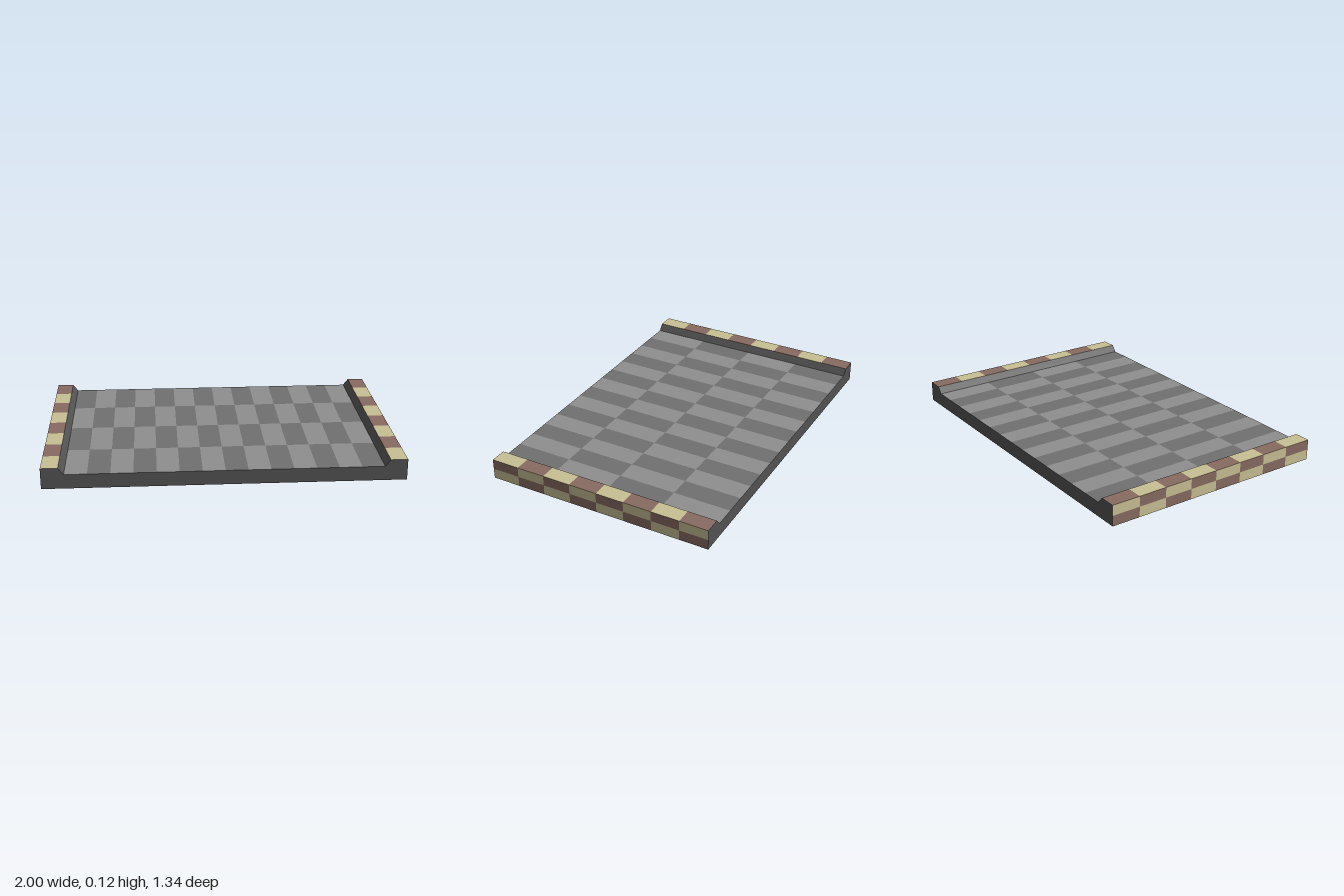
import * as THREE from 'three';
import { mergeGeometries } from 'three/addons/utils/BufferGeometryUtils.js';

const LENGTH = 1.344;            // extent along z
const TOP = 0.12, DECK = 0.082;  // curb and road heights
const CURB_IN = 0.905, DECK_IN = 0.875;

const material = (color) => new THREE.MeshStandardMaterial({ color, flatShading: true });
const dark = material(0x525252);
const cream = material(0xc8bf93), brown = material(0x876b61);
const light = material(0x8f8f8f), grey = material(0x707070);

function part(name, geometry, mat) {
  const mesh = new THREE.Mesh(geometry, mat);
  mesh.name = name;
  return mesh;
}

// Checkered panel in the XY plane facing +z; matA fills the lower left tile
function checker(name, width, height, cols, rows, matA, matB) {
  const sets = [[], []];
  const w = width / cols, h = height / rows;
  for (let i = 0; i < cols; i++) {
    for (let j = 0; j < rows; j++) {
      const tile = new THREE.PlaneGeometry(w, h);
      tile.translate((i + 0.5) * w - width / 2, (j + 0.5) * h - height / 2, 0);
      sets[(i + j) % 2].push(tile);
    }
  }
  const group = new THREE.Group();
  group.name = name;
  group.add(part(name + 'TilesA', mergeGeometries(sets[0]), matA));
  group.add(part(name + 'TilesB', mergeGeometries(sets[1]), matB));
  return group;
}

export function createModel() {
  const model = new THREE.Group();
  model.name = 'roadSection';

  // Checkered road surface
  const deck = checker('roadSurface', DECK_IN * 2, LENGTH, 14, 4, light, grey);
  deck.rotation.x = -Math.PI / 2;
  deck.position.y = DECK;
  model.add(deck);

  // Underside
  const base = part('underside', new THREE.PlaneGeometry(2, LENGTH), dark);
  base.rotation.x = Math.PI / 2;
  model.add(base);

  // Front and back end faces share the road's cross-section
  const profile = new THREE.Shape([
    [-1, 0], [1, 0], [1, TOP], [CURB_IN, TOP], [DECK_IN, DECK],
    [-DECK_IN, DECK], [-CURB_IN, TOP], [-1, TOP],
  ].map(([x, y]) => new THREE.Vector2(x, y)));
  for (const s of [1, -1]) {
    const end = part(s > 0 ? 'frontEnd' : 'backEnd', new THREE.ShapeGeometry(profile), dark);
    end.position.z = s * LENGTH / 2;
    if (s < 0) end.rotation.y = Math.PI;
    model.add(end);
  }

  for (const s of [1, -1]) {
    const side = s > 0 ? 'left' : 'right';

    // Curb top
    const top = checker(side + 'CurbTop', 1 - CURB_IN, LENGTH, 1, 8, cream, brown);
    top.rotation.x = -Math.PI / 2;
    top.position.set(s * (1 + CURB_IN) / 2, TOP, 0);
    model.add(top);

    // Curb outer face, two rows of tiles
    const [a, b] = s > 0 ? [cream, brown] : [brown, cream];
    const outer = checker(side + 'CurbFace', LENGTH, TOP, 8, 2, a, b);
    outer.rotation.y = s * Math.PI / 2;
    outer.position.set(s, TOP / 2, 0);
    model.add(outer);

    // Sloped inner edge of the curb
    const run = CURB_IN - DECK_IN, rise = TOP - DECK;
    const slope = new THREE.PlaneGeometry(Math.hypot(run, rise), LENGTH);
    slope.rotateX(-Math.PI / 2).rotateZ(s * Math.atan2(rise, run));
    slope.translate(s * (CURB_IN + DECK_IN) / 2, (TOP + DECK) / 2, 0);
    model.add(part(side + 'CurbSlope', slope, dark));
  }
  return model;
}
